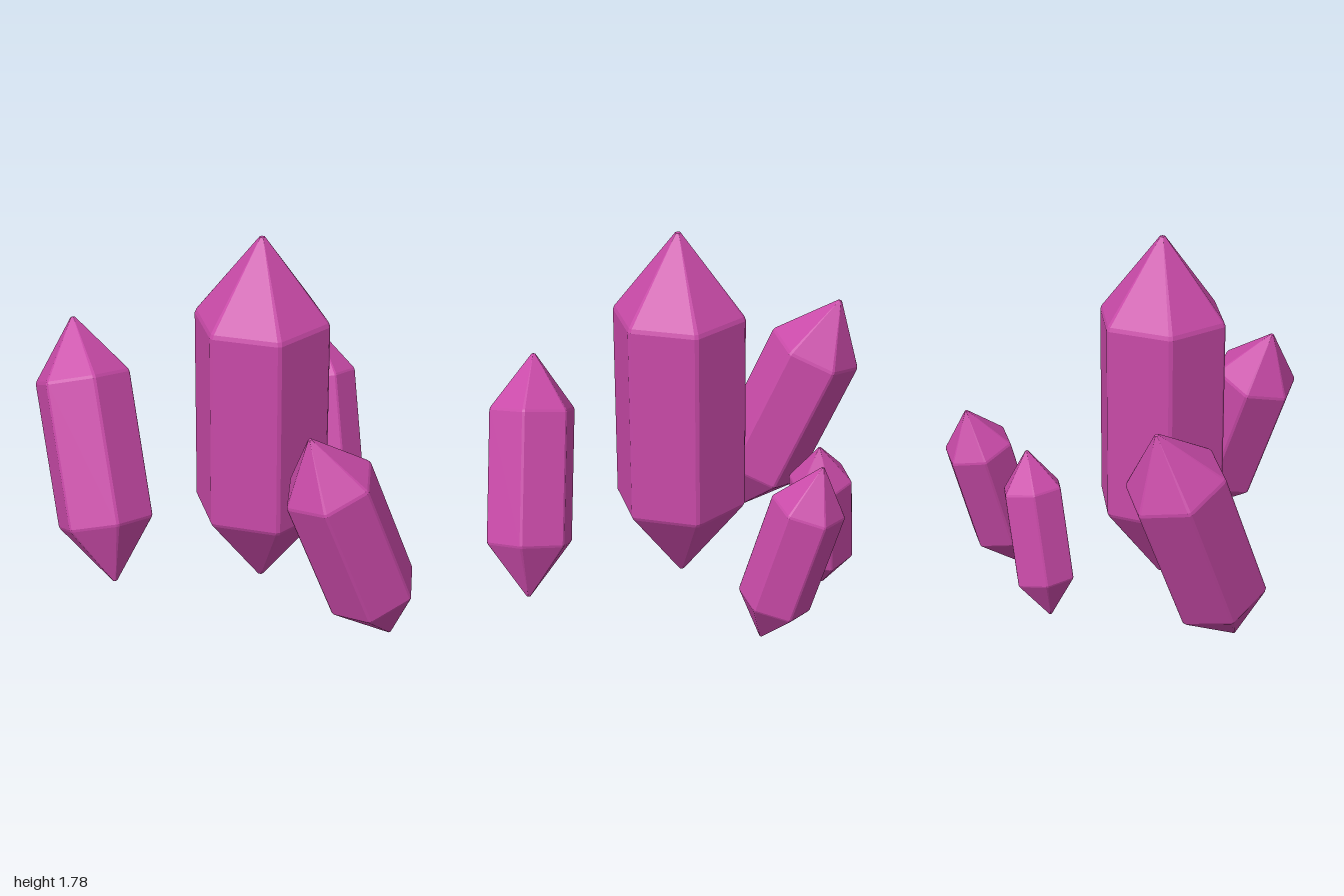
import * as THREE from 'three';

const HEIGHT = 1.78;

// Double-pointed hexagonal crystal with finely bevelled edges, standing on its tip at the origin
function crystalGeometry() {
  const profile = [
    [0, 0], [0.014, 0.002], [0.32, 0.393], [0.328, 0.41],
    [0.328, 1.37], [0.32, 1.39], [0.014, HEIGHT - 0.002], [0, HEIGHT],
  ].map(([r, y]) => new THREE.Vector2(r, y));
  const lathe = new THREE.LatheGeometry(profile, 12);
  const pos = lathe.attributes.position;
  const corner = (k) => new THREE.Vector2(Math.cos(k * Math.PI / 3), -Math.sin(k * Math.PI / 3));

  // Pull the twelve columns in pairs towards the six hexagon corners
  for (let i = 0; i < pos.count; i++) {
    const column = Math.floor(i / profile.length);
    const r = profile[i % profile.length].x;
    const k = Math.floor(column / 2);
    const p = corner(k).lerp(corner(k + 1), column % 2 ? 0.965 : 0.035);
    pos.setX(i, p.x * r);
    pos.setZ(i, p.y * r);
  }
  const geometry = lathe.toNonIndexed();
  geometry.computeVertexNormals();
  return geometry;
}

// bottom tip, top tip, and the direction of one prism edge (sets the twist)
const CRYSTALS = [
  { name: 'mainCrystal', bottom: [0.15, 0, 0.15], top: [0.15, 1.78, 0.15], side: [1, 0, 0] },
  { name: 'leaningCrystalRight', bottom: [-0.515, 0, 0.42], top: [-0.845, 1.2, 0], side: [0.23, 0.05, -0.035] },
  { name: 'frontCrystalLeft', bottom: [0.87, 0, 0.485], top: [0.537, 1.107, 0.765], side: [0.194, 0.05, 0.088] },
  { name: 'backCrystalLeft', bottom: [0.345, 0, -0.575], top: [0.19, 0.91, -0.805], side: [0.17, 0.021, -0.03] },
  { name: 'backCrystalRight', bottom: [-0.245, 0, -0.44], top: [-0.1, 0.815, -0.53], side: [0.148, -0.026, 0] },
];

export function createModel() {
  const group = new THREE.Group();
  group.name = 'crystalCluster';
  const material = new THREE.MeshStandardMaterial({ color: 0xc94aa8, flatShading: true });
  material.name = 'magentaCrystal';
  const geometry = crystalGeometry();

  for (const { name, bottom, top, side } of CRYSTALS) {
    const base = new THREE.Vector3(...bottom);
    const axis = new THREE.Vector3(...top).sub(base);
    const length = axis.length();
    axis.normalize();
    const u = new THREE.Vector3(...side);
    u.addScaledVector(axis, -u.dot(axis)).normalize();
    const w = new THREE.Vector3().crossVectors(u, axis);

    const mesh = new THREE.Mesh(geometry, material);
    mesh.name = name;
    mesh.quaternion.setFromRotationMatrix(new THREE.Matrix4().makeBasis(u, axis, w));
    mesh.position.copy(base);
    mesh.scale.setScalar(length / HEIGHT);
    group.add(mesh);
  }
  return group;
}
